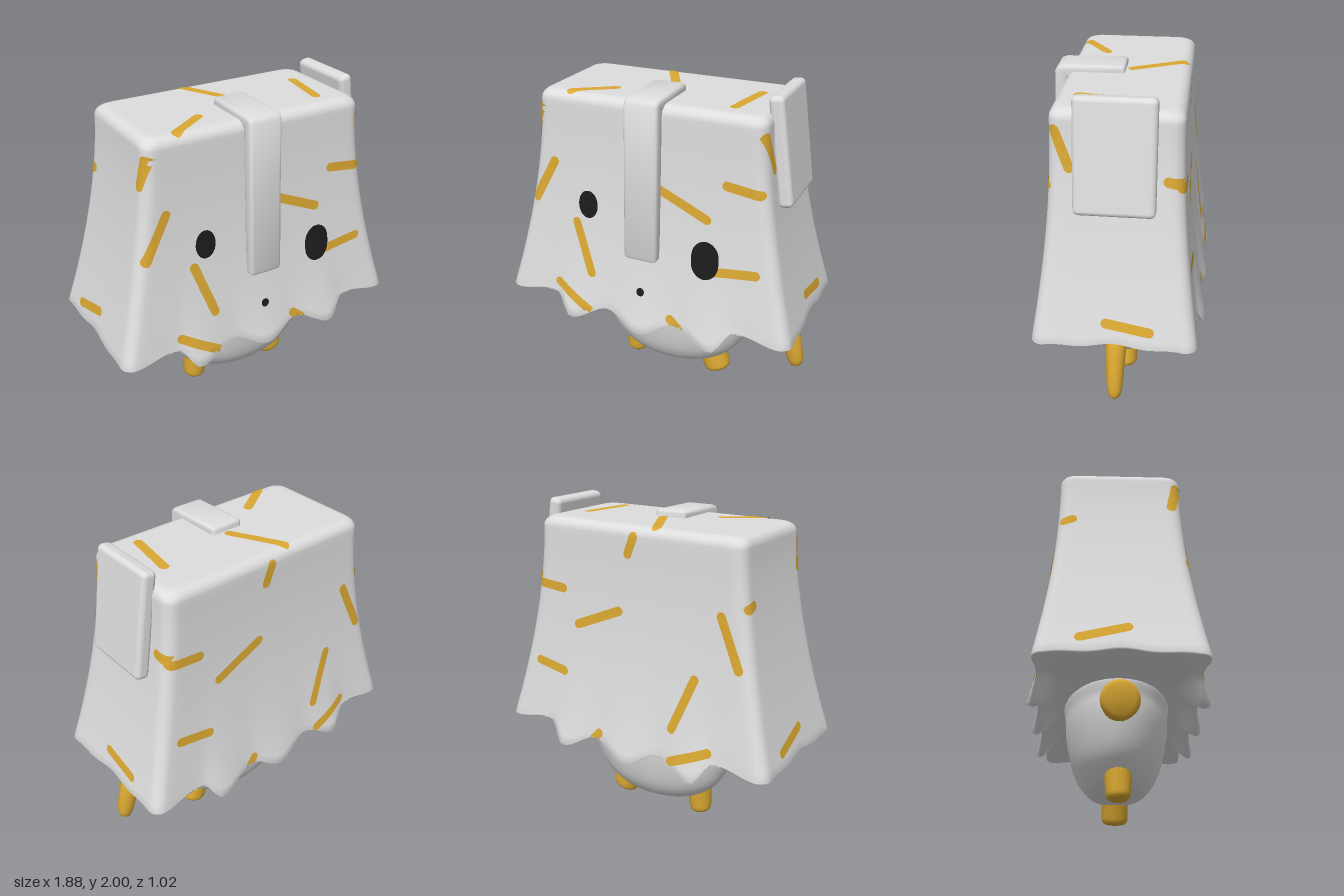
import * as THREE from 'three';
import { mergeVertices, toCreasedNormals } from 'three/addons/utils/BufferGeometryUtils.js';
import { RoundedBoxGeometry } from 'three/addons/geometries/RoundedBoxGeometry.js';

const mat = (name, color, side = THREE.FrontSide) => {
  const m = new THREE.MeshStandardMaterial({ color, side });
  m.name = name;
  return m;
};
const smooth = THREE.MathUtils.smoothstep;

// Height of the wavy hem for a spot (u, v in -1..1) on the outline
function hemHeight(u, v, onSide) {
  if (onSide) return 0.6 + 0.03 * (1 - v * v) - 0.012 * (1 - Math.cos(v * Math.PI * 2)) * (1 - v * v);
  const x = Math.abs(u) * 0.9;
  if (x < 0.47) return 0.545 - 0.05 * Math.cos((2 * Math.PI * x) / 0.47);
  return 0.495 + 0.14 * smooth(x, 0.47, 0.63) - 0.035 * smooth(x, 0.68, 0.9);
}

// Outline of a rounded rectangle: edge position plus corner direction
function outline() {
  const pts = [];
  const corners = [[1, 1], [-1, 1], [-1, -1], [1, -1]];
  corners.forEach(([u, v], k) => {
    for (let i = 0; i <= 5; i++) {
      const a = (k + i / 5) * Math.PI / 2;
      pts.push({ u, v, nx: Math.cos(a), nz: Math.sin(a), side: false });
    }
    const [u2, v2] = corners[(k + 1) % 4];
    const n = k % 2 ? 20 : 44;
    for (let i = 1; i < n; i++) {
      const t = i / n, side = k % 2 === 1;
      pts.push({ u: u + (u2 - u) * t, v: v + (v2 - v) * t,
        nx: side ? u : 0, nz: side ? 0 : v, side });
    }
  });
  return pts;
}

// Flared draped cloth, closed underneath just above the hem
function clothGeometry() {
  const ring = outline(), N = ring.length, pos = [], idx = [];
  let rows = 0;
  const addRow = (fn) => {
    for (const p of ring) {
      const { a, b, y, r = 0.07 } = fn(p, hemHeight(p.u, p.v, p.side));
      pos.push(p.u * (a - r) + p.nx * r, y, p.v * (b - r) + p.nz * r);
    }
    rows++;
  };
  const halfX = (y) => 0.7 + 0.24 * Math.pow(Math.max(0, (1.85 - y) / 1.25), 1.5);
  const halfZ = (y) => 0.357 + 0.12 * Math.pow(Math.max(0, (1.85 - y) / 1.25), 2);
  addRow(() => ({ a: 0.001, b: 0.001, y: 1.91, r: 0.001 }));
  addRow(() => ({ a: 0.6, b: 0.26, y: 1.91, r: 0.03 }));
  for (let i = 0; i <= 5; i++) {
    const t = (i / 5) * Math.PI / 2, d = 0.06 * (1 - Math.sin(t));
    addRow(() => ({ a: 0.7 - d, b: 0.357 - d, y: 1.85 + 0.06 * Math.cos(t) }));
  }
  for (let i = 1; i <= 26; i++) {
    const t = i / 26;
    addRow((p, hem) => {
      const y = 1.85 - t * (1.85 - hem);
      const fold = p.side ? 0 : 0.2 * (0.56 - hem) * Math.pow(t, 5);
      return { a: halfX(y), b: halfZ(y) + fold, y };
    });
  }
  for (const [inset, lift] of [[0.012, -0.006], [0.03, 0.002], [0.07, 0.025]]) {
    addRow((p, h) => ({ a: halfX(h) - inset, b: halfZ(h) - inset, y: h + lift }));
  }
  addRow(() => ({ a: 0.76, b: 0.34, y: 0.64 }));
  addRow(() => ({ a: 0.001, b: 0.001, y: 0.65, r: 0.001 }));
  for (let r = 0; r < rows - 1; r++) {
    for (let j = 0; j < N; j++) {
      const k = (j + 1) % N, a = r * N + j, b = r * N + k, c = a + N, d = b + N;
      idx.push(a, b, c, b, d, c);
    }
  }
  const g = new THREE.BufferGeometry();
  g.setAttribute('position', new THREE.Float32BufferAttribute(pos, 3));
  g.setIndex(idx);
  g.computeVertexNormals();
  return g;
}

// Capsule or oval patch laid on the cloth, seen along one axis
function patch(cloth, axis, sign, [a0, b0, a1, b1], r, lift, wide = 1) {
  const len = Math.hypot(a1 - a0, b1 - b0);
  const da = (a1 - a0) / len, db = (b1 - b0) / len;
  const stations = [];
  for (let i = 0; i <= 6; i++) {
    const t = (i / 6) * Math.PI / 2;
    stations.push([-r * Math.cos(t), r * Math.sin(t)]);
  }
  for (let i = 1; i < 8; i++) stations.push([(len * i) / 8, r]);
  for (let i = 0; i <= 6; i++) {
    const t = (i / 6) * Math.PI / 2;
    stations.push([len + r * Math.sin(t), r * Math.cos(t)]);
  }
  const dir = new THREE.Vector3().setComponent(axis, -sign);
  const ray = new THREE.Raycaster(), pos = [], hit = [], idx = [], W = 4;
  for (const [s, h] of stations) {
    for (let j = 0; j <= W; j++) {
      const o = wide * h * ((2 * j) / W - 1), a = a0 + da * s - db * o, b = b0 + db * s + da * o;
      const from = axis === 2 ? [a, b, sign * 3] : axis === 0 ? [sign * 3, b, a] : [a, 3, b];
      ray.set(new THREE.Vector3(...from), dir);
      const found = ray.intersectObject(cloth)[0];
      const p = found ? found.point.addScaledVector(found.face.normal, lift) : new THREE.Vector3();
      pos.push(p.x, p.y, p.z);
      hit.push(!!found);
    }
  }
  const tri = (...t) => { if (t.every((i) => hit[i])) idx.push(...t); };
  for (let i = 0; i < stations.length - 1; i++) {
    for (let j = 0; j < W; j++) {
      const a = i * (W + 1) + j, c = a + W + 1;
      tri(a, c, a + 1);
      tri(a + 1, c, c + 1);
    }
  }
  const g = new THREE.BufferGeometry();
  g.setAttribute('position', new THREE.Float32BufferAttribute(pos, 3));
  g.setIndex(idx);
  g.computeVertexNormals();
  return g;
}

// Tapered limb with a blunt rounded tip
function limb(points, r0, r1, depth = 1) {
  const n = 28;
  const curve = new THREE.CatmullRomCurve3(points.map(([x, y]) => new THREE.Vector3(x, y, 0)));
  let g = new THREE.TubeGeometry(curve, n, 1, 18);
  const p = g.attributes.position, v = new THREE.Vector3();
  for (let i = 0; i < p.count; i++) {
    const t = Math.floor(i / 19) / n, c = curve.getPointAt(t);
    const e = Math.max(0, (t - 0.8) / 0.2);
    const r = (r0 + (r1 - r0) * t) * Math.sqrt(Math.max(0, 1 - e ** 4));
    v.fromBufferAttribute(p, i).sub(c).multiplyScalar(r).add(c);
    p.setXYZ(i, v.x, v.y, v.z * depth);
  }
  g.deleteAttribute('uv');
  g.deleteAttribute('normal');
  g = mergeVertices(g, 1e-5);
  g.computeVertexNormals();
  return g;
}

export function createModel() {
  const white = mat('clothWhite', 0xdedede);
  const yellow = mat('mustardYellow', 0xdaa832, THREE.DoubleSide);
  const black = mat('faceBlack', 0x1c1c1c, THREE.DoubleSide);
  const group = new THREE.Group();
  const add = (name, geo, m) => {
    const mesh = new THREE.Mesh(geo, m);
    mesh.name = name;
    group.add(mesh);
    return mesh;
  };

  const cloth = add('drapedCloth', clothGeometry(), white);

  // Rounded body under the cloth
  const profile = new THREE.SplineCurve([[0, 0.11], [0.2, 0.113], [0.32, 0.145], [0.435, 0.25],
    [0.505, 0.41], [0.53, 0.56], [0.5, 0.7], [0.001, 0.75]].map(([x, y]) => new THREE.Vector2(x, y)));
  const body = add('body', new THREE.LatheGeometry(profile.getPoints(40), 48), white);
  body.scale.z = 0.585;
  body.position.x = 0.045;

  // Limbs
  add('rightFoot', limb([[-0.24, 0.32], [-0.25, 0.16], [-0.26, 0.003]], 0.088, 0.068), yellow);
  add('leftFoot', limb([[0.25, 0.3], [0.305, 0.14], [0.35, 0.01]], 0.09, 0.09, 0.9), yellow);
  add('rightArm', limb([[-0.35, 0.53], [-0.5, 0.495], [-0.68, 0.45]], 0.09, 0.115), yellow);
  add('leftArm', limb([[0.45, 0.57], [0.62, 0.585], [0.745, 0.55], [0.82, 0.4], [0.878, 0.18]],
    0.1, 0.048, 0.85), yellow);

  // Folded strap over the front and the flap on the left side
  const shape = new THREE.Shape([[0.02, 1.94], [0.03, 1.95], [0.38, 1.945], [0.41, 1.935], [0.425, 1.91],
    [0.437, 1.6], [0.465, 1.0], [0.455, 0.98], [0.39, 0.98], [0.345, 1.87],
    [0.02, 1.87]].map(([z, y]) => new THREE.Vector2(z, y)));
  const strapGeo = new THREE.ExtrudeGeometry(shape, { depth: 0.166, bevelSize: 0.022,
    bevelThickness: 0.022, bevelOffset: -0.022, bevelSegments: 4 });
  strapGeo.translate(0, 0, -0.083);
  strapGeo.rotateY(-Math.PI / 2);
  add('frontStrap', toCreasedNormals(strapGeo, 0.8), white);
  const flap = add('sideFlap', new RoundedBoxGeometry(0.087, 0.637, 0.44, 4, 0.03), white);
  flap.position.set(0.742, 1.68, 0);
  flap.rotation.z = 0.15;

  // Stripes: axis, sign, then start and end as (x,y), (z,y) or (x,z)
  const stripes = [
    [2, 1, [[-0.6, 1.48, -0.735, 1.23], [-0.45, 1.12, -0.34, 0.81], [-0.57, 0.7, -0.3, 0.54],
      [0.08, 1.425, 0.39, 1.29], [0.5, 1.51, 0.69, 1.485], [0.45, 0.985, 0.7, 1.015], [0.2, 0.63, 0.26, 0.58]]],
    [2, -1, [[0, 1.85, 0.04, 1.75], [0.7, 1.5, 0.52, 1.485], [0.4, 1.28, 0.1, 1.405],
      [0.7, 1, 0.5, 0.965], [-0.44, 1.095, -0.315, 0.78], [-0.33, 0.59, -0.56, 0.69],
      [-0.585, 1.48, -0.71, 1.2], [0.2, 0.63, 0.25, 0.57]]],
    [0, 1, [[0.32, 1.8, 0.245, 1.6], [-0.28, 1.545, -0.365, 1.525], [0.04, 0.745, -0.2, 0.705]]],
    [0, -1, [[0.33, 1.8, 0.3, 1.65], [-0.32, 1.53, -0.28, 1.545], [-0.22, 0.69, 0.03, 0.76]]],
    [1, 1, [[-0.13, -0.31, 0.02, -0.02], [-0.28, 0.165, -0.49, 0.31], [0.525, -0.09, 0.475, 0.22]]],
  ];
  for (const [axis, sign, list] of stripes) {
    for (const s of list) add('stripe', patch(cloth, axis, sign, s, 0.028, 0.004), yellow);
  }

  // Face
  add('rightEye', patch(cloth, 2, 1, [-0.37, 1.243, -0.37, 1.247], 0.084, 0.008, 0.76), black);
  add('leftEye', patch(cloth, 2, 1, [0.395, 1.025, 0.395, 1.065], 0.096, 0.008, 0.88), black);
  add('mouth', patch(cloth, 2, 1, [0, 0.762, 0, 0.764], 0.025, 0.008), black);
  return group;
}
